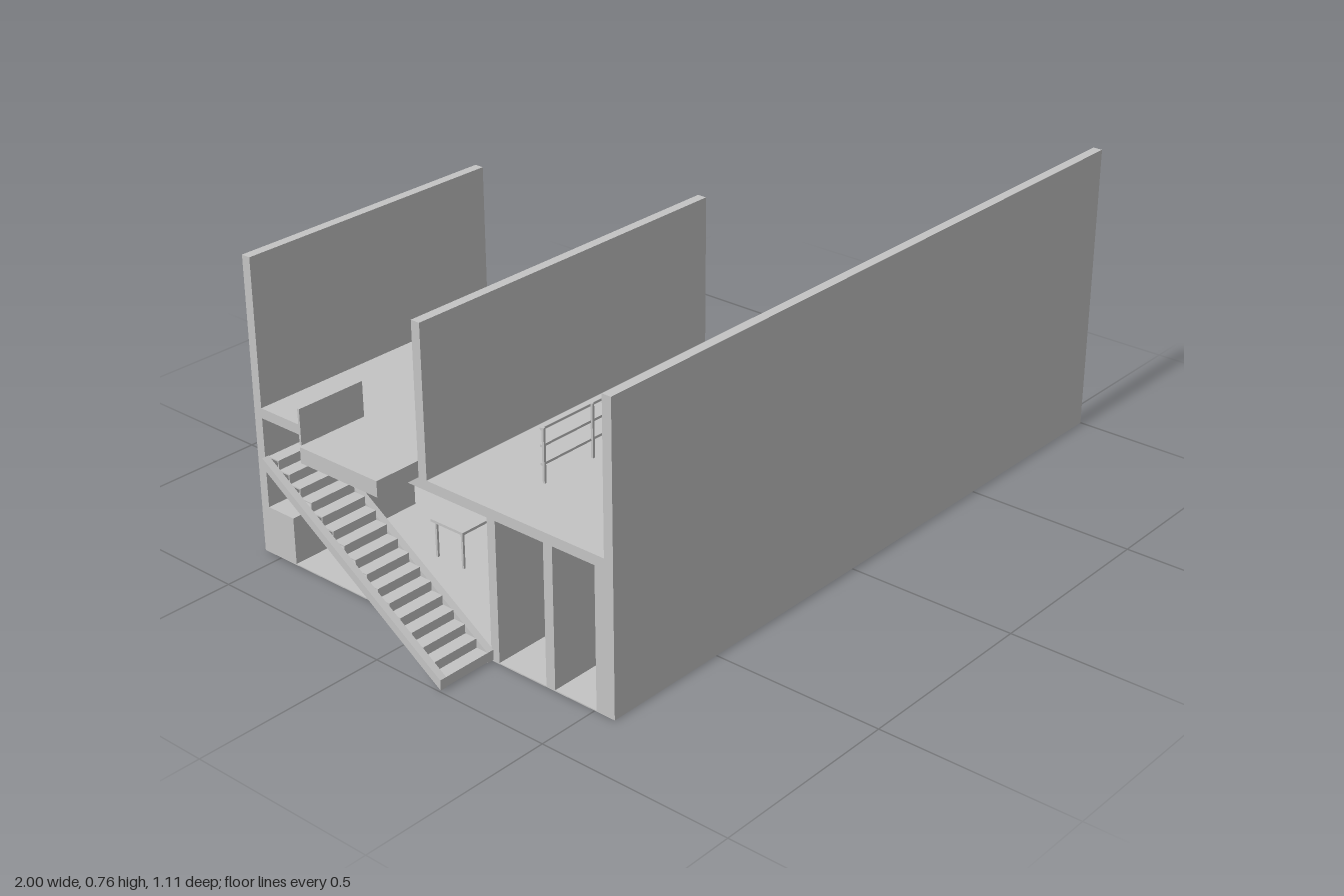
import * as THREE from 'three';

export function createModel() {
  const model = new THREE.Group();
  const grey = new THREE.MeshStandardMaterial({ color: 0xc4c4c4 });
  grey.name = 'plain grey';

  // Box given by its limits on each axis
  function box(name, x0, x1, y0, y1, z0, z1, parent = model) {
    const mesh = new THREE.Mesh(new THREE.BoxGeometry(x1 - x0, y1 - y0, z1 - z0), grey);
    mesh.position.set((x0 + x1) / 2, (y0 + y1) / 2, (z0 + z1) / 2);
    mesh.name = name;
    parent.add(mesh);
    return mesh;
  }
  function group(name) {
    const g = new THREE.Group();
    g.name = name;
    model.add(g);
    return g;
  }

  const X0 = -0.837, X1 = -0.092, TOP = 0.763;
  const CEILING = 0.359, UPPER = 0.385;

  // Long parallel walls and the two floors
  box('frontWall', X0, 1, 0, TOP, 0.532, 0.557);
  box('backWall', X0, X1, 0, TOP, -0.557, -0.532);
  box('middleWall', X0, 0.11, UPPER, TOP, -0.0125, 0.0125);
  box('groundFloor', X0, X1, 0, 0.003, -0.532, 0.532);
  box('upperFloor', X0, X1, CEILING, UPPER, -0.532, 0.532);

  // Ground floor partitions
  box('liningWall', X0, X1, 0.003, CEILING, 0.505, 0.532);
  box('longPartition', X0, X1, 0.003, CEILING, 0.359, 0.385);
  box('shortPartition', X0, -0.53, 0.003, CEILING, 0.194, 0.218);

  // Ground floor furniture
  box('bathBlock', -0.45, -0.14, 0.003, 0.116, 0.385, 0.49);
  box('counter', X0, -0.45, 0.003, 0.125, -0.532, -0.447);
  const table = group('table');
  box('tableTop', -0.605, -0.38, 0.098, 0.105, -0.23, -0.123, table);
  for (const x of [-0.595, -0.395])
    for (const z of [-0.22, -0.134])
      box('tableLeg', x - 0.003, x + 0.003, 0.003, 0.098, z - 0.003, z + 0.003, table);

  // Beds with separate raised headboards
  function bed(name, x0, x1, z0, z1, headZ) {
    const g = group(name);
    box('mattress', x0, x1, UPPER, 0.425, z0, z1, g);
    box('headboard', x0, x1, 0.431, 0.52, headZ - 0.003, headZ + 0.003, g);
  }
  bed('frontBed', -0.4, -0.19, 0.222, 0.49, 0.487);
  bed('backBed', -0.96, -0.773, -0.257, -0.0125, -0.254);

  // Railing with posts and three rails
  const railing = group('railing');
  for (let i = 0; i < 4; i++) {
    const x = -0.677 + i * 0.1565;
    box('railingPost', x - 0.003, x + 0.003, UPPER, 0.52, 0.212, 0.218, railing);
  }
  for (const y of [0.43, 0.475, 0.516])
    box('rail', -0.68, -0.204, y - 0.003, y + 0.003, 0.207, 0.213, railing);

  // Outside staircase: two sloping stringers
  const stairs = group('stairs');
  const side = new THREE.Shape([
    new THREE.Vector2(-0.2, 0.004), new THREE.Vector2(0.34, 0.361),
    new THREE.Vector2(0.34, 0.385), new THREE.Vector2(-0.2, 0.03)
  ]);
  const stringerGeometry = new THREE.ExtrudeGeometry(side, { depth: 0.018, bevelEnabled: false });
  stringerGeometry.rotateY(Math.PI / 2);
  for (const x of [-1, -0.855]) {
    const stringer = new THREE.Mesh(stringerGeometry, grey);
    stringer.position.x = x;
    stringer.name = 'stringer';
    stairs.add(stringer);
  }

  // Thin treads and risers
  const steps = 16, run = 0.0338, rise = 0.0235;
  for (let i = 0; i < steps; i++) {
    const z = 0.2 - i * run, y = 0.03 + i * rise;
    box('tread', -0.982, -0.855, y - 0.003, y, z - run, z, stairs);
    box('riser', -0.982, -0.855, y - rise, y - 0.003, z - 0.003, z, stairs);
  }

  return model;
}
